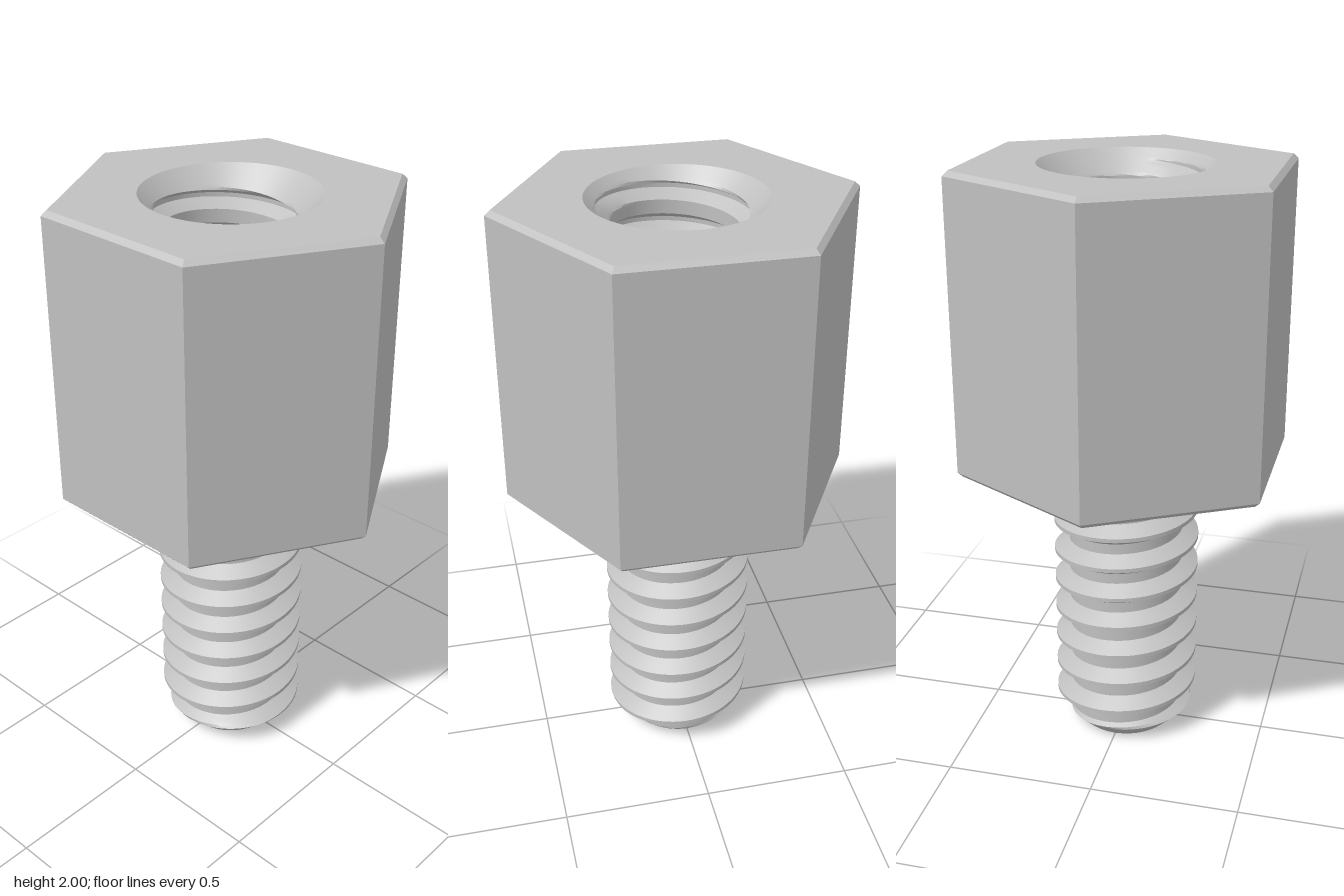
import * as THREE from 'three';
import { toCreasedNormals } from 'three/addons/utils/BufferGeometryUtils.js';

const PITCH = 1 / 9;
const CREST = 0.007;   // half width of the crest flat
const PHASE = 0.057;   // crest height at the front

// Right-handed helical V thread between y0 and y1; limit() trims it with a chamfer
function threadGeometry(root, major, y0, y1, limit, inward) {
  const segments = 72, flank = (major - root) / Math.sqrt(3);
  const keys = [-PITCH / 2, -CREST - flank, -CREST, CREST, CREST + flank, PITCH / 2];

  // Row offsets along one pitch, with each stretch subdivided
  const offsets = [];
  for (let k = 0; k < 5; k++)
    for (let s = 0; s < 3; s++) offsets.push(keys[k] + (keys[k + 1] - keys[k]) * s / 3);

  const first = Math.floor((y0 - PHASE) / PITCH) - 2;
  const last = Math.ceil((y1 - PHASE) / PITCH) + 1;
  const rows = [];
  for (let n = first; n <= last; n++) offsets.forEach(o => rows.push(n * PITCH + o));

  const positions = [], index = [];
  for (const row of rows) {
    for (let j = 0; j <= segments; j++) {
      const turn = j / segments, a = turn * Math.PI * 2;
      const y = THREE.MathUtils.clamp(PHASE + row + turn * PITCH, y0, y1);
      const t = (y - PHASE) / PITCH - turn;
      const d = Math.abs(t - Math.round(t)) * PITCH;
      const r = limit(THREE.MathUtils.clamp(major - (d - CREST) * Math.sqrt(3), root, major), y);
      positions.push(r * Math.sin(a), y, r * Math.cos(a));
    }
  }
  // Rows squeezed flat at the two ends are skipped
  const height = i => positions[i * 3 + 1];
  const addFace = (a, b, c) => {
    if (height(a) === height(b) && height(b) === height(c)) return;
    if (inward) index.push(a, c, b); else index.push(a, b, c);
  };
  const w = segments + 1;
  for (let i = 0; i < rows.length - 1; i++) {
    for (let j = 0; j < segments; j++) {
      const a = i * w + j;
      addFace(a, a + 1, a + w);
      addFace(a + 1, a + w + 1, a + w);
    }
  }
  const geometry = new THREE.BufferGeometry();
  geometry.setAttribute('position', new THREE.Float32BufferAttribute(positions, 3));
  geometry.setIndex(index);
  return toCreasedNormals(geometry, 0.45);
}

export function createModel() {
  const model = new THREE.Group();
  model.name = 'hexStandoff';
  const steel = new THREE.MeshStandardMaterial({ color: 0xc0c0c0 });
  steel.name = 'steel grey';

  const add = (name, geometry) => {
    const mesh = new THREE.Mesh(geometry, steel);
    mesh.name = name;
    model.add(mesh);
    return mesh;
  };

  const hexRadius = 1 / Math.sqrt(3), faceRadius = hexRadius - 0.018, bevel = 0.016;
  const sinkRadius = 0.283, boreFloor = 1.2;

  // Hexagonal body: underside, bevels and flats
  const profile = [[0, 1], [faceRadius, 1], [hexRadius, 1 + bevel], [hexRadius, 2 - bevel], [faceRadius, 2]]
    .map(([x, y]) => new THREE.Vector2(x, y));
  const body = new THREE.LatheGeometry(profile, 6, Math.PI / 2).toNonIndexed();
  body.computeVertexNormals();
  add('hexBody', body);

  // Top face with its round opening
  const face = new THREE.Shape();
  for (let i = 0; i < 6; i++) {
    const a = i * Math.PI / 3, x = faceRadius * Math.cos(a), y = faceRadius * Math.sin(a);
    if (i) face.lineTo(x, y); else face.moveTo(x, y);
  }
  face.closePath();
  face.holes.push(new THREE.Path().absarc(0, 0, sinkRadius, 0, Math.PI * 2, true));
  const top = add('topFace', new THREE.ShapeGeometry(face, 36));
  top.rotation.x = -Math.PI / 2;
  top.position.y = 2;

  // Countersunk threaded bore and its floor
  add('threadedBore', threadGeometry(0.205, 0.25, boreFloor, 2,
    (r, y) => Math.max(r, sinkRadius - (2 - y)), true));
  const floor = add('boreFloor', new THREE.CircleGeometry(0.26, 72));
  floor.rotation.x = -Math.PI / 2;
  floor.position.y = boreFloor;

  // Threaded stud with a chamfered tip
  add('threadedStud', threadGeometry(0.198, 0.25, 0, 1.01,
    (r, y) => Math.min(r, 0.165 + y), false));
  const tip = add('studTip', new THREE.CircleGeometry(0.165, 72));
  tip.rotation.x = Math.PI / 2;

  return model;
}
